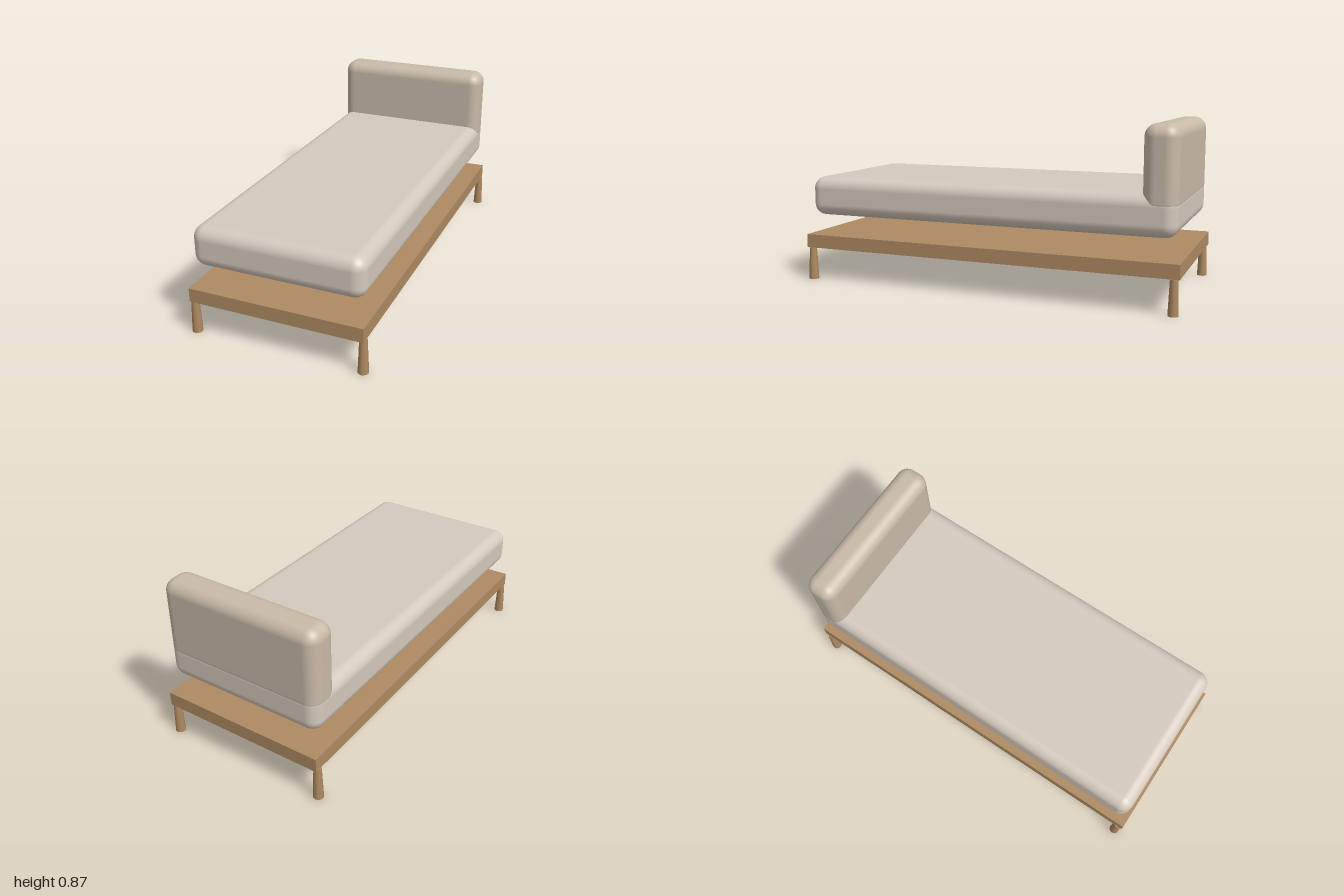
import * as THREE from 'three';
import { RoundedBoxGeometry } from 'three/addons/geometries/RoundedBoxGeometry.js';

export function createModel() {
  const bed = new THREE.Group();
  bed.name = 'bed';

  const wood = new THREE.MeshStandardMaterial({ color: 0xae8a62 });
  const mattressFabric = new THREE.MeshStandardMaterial({ color: 0xd4c9bc });
  const headboardFabric = new THREE.MeshStandardMaterial({ color: 0xc8baa8 });

  const add = (name, geometry, material, x, y, z) => {
    const mesh = new THREE.Mesh(geometry, material);
    mesh.name = name;
    mesh.position.set(x, y, z);
    bed.add(mesh);
  };

  // Flat wooden platform
  const frameBottom = 0.172, frameTop = 0.243;
  add('frame', new THREE.BoxGeometry(0.88, frameTop - frameBottom, 2), wood,
    0, (frameBottom + frameTop) / 2, 0);

  // Four legs, flaring towards the floor
  const leg = new THREE.CylinderGeometry(0.019, 0.026, frameBottom, 12);
  for (const [side, x] of [['Left', 0.428], ['Right', -0.428]]) {
    for (const [end, z] of [['front', 0.972], ['back', -0.972]]) {
      add(`${end}${side}Leg`, leg, wood, x, frameBottom / 2, z);
    }
  }

  // Soft cushions: the mattress hovers above the frame, the headboard sinks into it
  const cushion = (name, material, width, yMin, yMax, zMin, zMax) =>
    add(name, new RoundedBoxGeometry(width, yMax - yMin, zMax - zMin, 6, 0.062), material,
      0, (yMin + yMax) / 2, (zMin + zMax) / 2);
  cushion('mattress', mattressFabric, 0.858, 0.347, 0.553, -0.977, 0.977);
  cushion('headboard', headboardFabric, 0.858, 0.45, 0.873, -0.977, -0.809);

  return bed;
}
